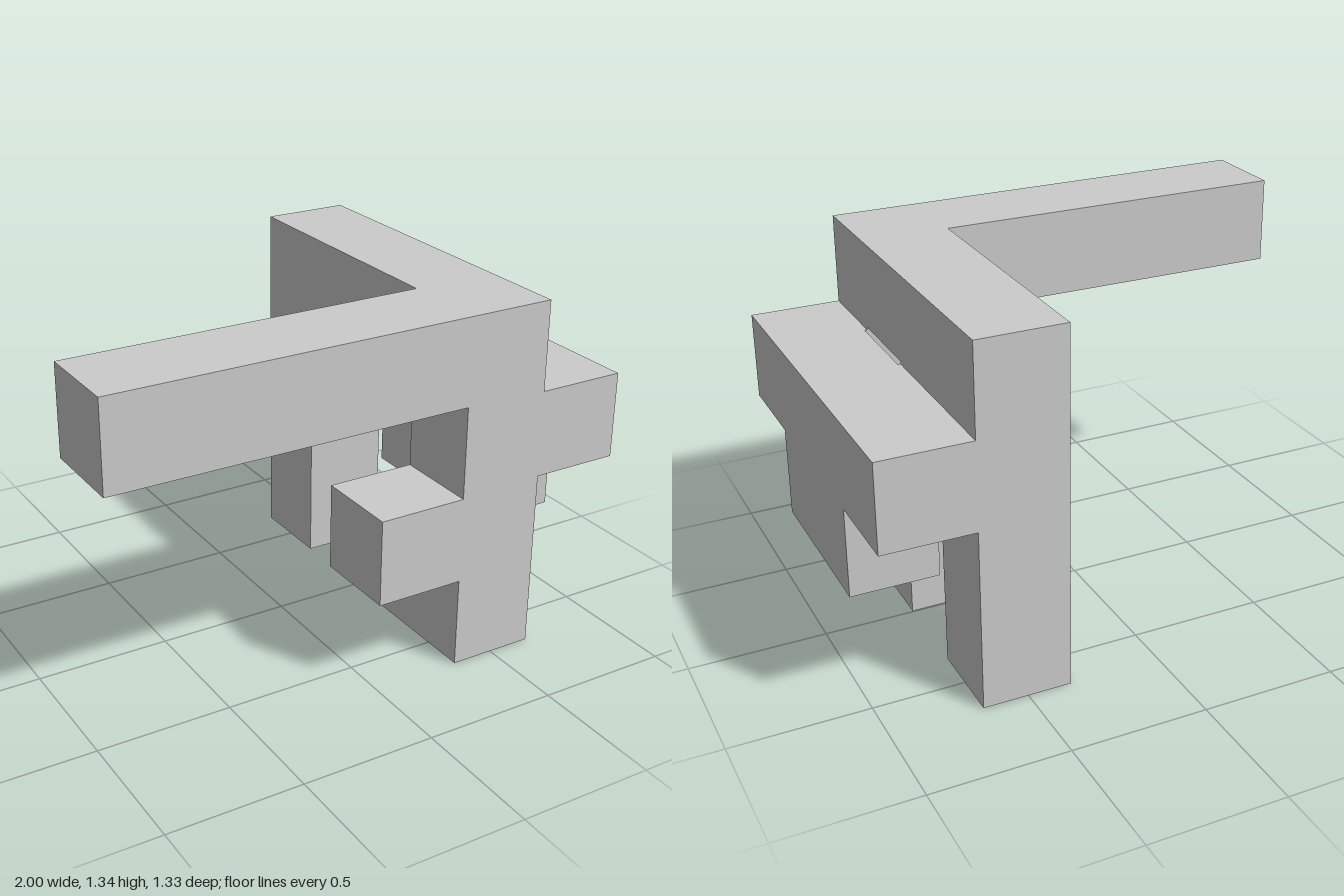
import * as THREE from 'three';

const material = new THREE.MeshStandardMaterial({ color: 0xcccccc, flatShading: true });

// Extrudes an x/y outline (counter-clockwise) from z0 to z1.
function slab(name, outline, z0, z1) {
  const shape = new THREE.Shape(outline.map(([x, y]) => new THREE.Vector2(x, y)));
  const geometry = new THREE.ExtrudeGeometry(shape, { depth: z1 - z0, bevelEnabled: false });
  geometry.translate(0, 0, z0);
  const mesh = new THREE.Mesh(geometry, material);
  mesh.name = name;
  return mesh;
}

// Straight block between two corners.
function block(name, [x0, y0, z0], [x1, y1, z1]) {
  const geometry = new THREE.BoxGeometry(x1 - x0, y1 - y0, z1 - z0);
  geometry.translate((x0 + x1) / 2, (y0 + y1) / 2, (z0 + z1) / 2);
  const mesh = new THREE.Mesh(geometry, material);
  mesh.name = name;
  return mesh;
}

// Column's right edge with the side arm, shared by all upright layers.
const armEdge = [[0.665, 0.675], [1, 0.675], [1, 1], [0.665, 1], [0.665, 1.335]];

export function createModel() {
  const model = new THREE.Group();
  model.name = 'interlockingBlockPiece';
  model.add(
    // front layer: long top bar, post, inner stub and side arm
    slab('frontFrame', [
      [-1, 1.01], [0.34, 1.01], [0.34, 0.665], [0.005, 0.665], [0.005, 0.34],
      [0.34, 0.34], [0.34, 0], [0.665, 0], ...armEdge, [-1, 1.335],
    ], 0.34, 0.665),
    // back layer: post with side arm
    slab('backPost', [[0.34, 0], [0.665, 0], ...armEdge, [0.34, 1.335]], -0.665, -0.34),
    // web joining the top bar and the side rail
    slab('middleWeb', [[0.34, 0.675], ...armEdge, [0.34, 1.335]], -0.34, -0.005),
    // links across the open cell behind the front frame
    block('topBar', [0.34, 1.01, -0.005], [0.665, 1.335, 0.34]),
    block('sideRail', [0.675, 0.675, -0.005], [1, 1, 0.34]),
    // tab hanging under the side rail, and foot behind the front post
    block('hangingTab', [0.675, 0.34, -0.33], [1, 0.675, 0.33]),
    block('frontFoot', [0.34, 0, 0.005], [0.665, 0.325, 0.34]),
  );
  return model;
}
